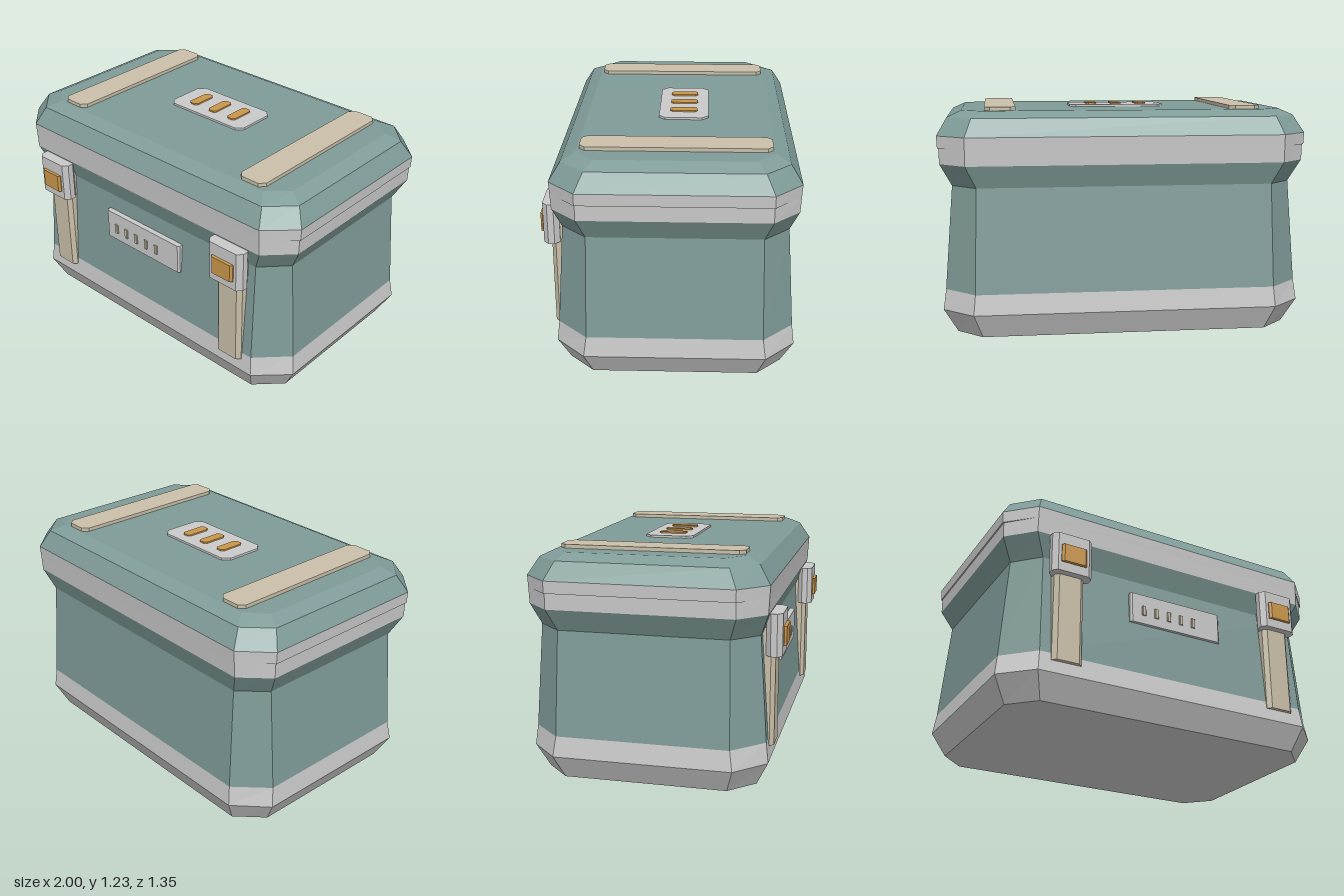
import * as THREE from 'three';

const mat = (name, color) => {
  const m = new THREE.MeshStandardMaterial({ color, flatShading: true });
  m.name = name;
  return m;
};

// Eight-sided ring: hx, hz are half sizes, ix, iz where the corner cuts begin
const ring = (y, hx, hz, ix, iz) => [
  [hx, iz], [hx, -iz], [ix, -hz], [-ix, -hz],
  [-hx, -iz], [-hx, iz], [-ix, hz], [ix, hz],
].map(([x, z]) => [x, y, z]);

// Skin a stack of rings, bottom to top, with optional end caps
function loft(rings, capBottom = false, capTop = false) {
  const pos = [];
  const tri = (a, b, c) => pos.push(...a, ...b, ...c);
  for (let r = 0; r < rings.length - 1; r++) {
    const lo = rings[r], hi = rings[r + 1];
    for (let i = 0; i < 8; i++) {
      const j = (i + 1) % 8;
      tri(lo[i], lo[j], hi[j]);
      tri(lo[i], hi[j], hi[i]);
    }
  }
  const bottom = rings[0], top = rings[rings.length - 1];
  for (let i = 1; i < 7; i++) {
    if (capBottom) tri(bottom[0], bottom[i + 1], bottom[i]);
    if (capTop) tri(top[0], top[i], top[i + 1]);
  }
  const g = new THREE.BufferGeometry();
  g.setAttribute('position', new THREE.Float32BufferAttribute(pos, 3));
  g.computeVertexNormals();
  return g;
}

// Upright block with its vertical edges cut by c
function block(x0, x1, y0, y1, z0, z1, c) {
  const hx = (x1 - x0) / 2, hz = (z1 - z0) / 2;
  const g = loft([y0, y1].map((y) => ring(y, hx, hz, hx - c, hz - c)), true, true);
  return g.translate((x0 + x1) / 2, 0, (z0 + z1) / 2);
}

export function createModel() {
  const teal = mat('teal', 0x7f9b98);
  const grey = mat('light grey', 0xc9c9c9);
  const tan = mat('tan', 0xc9bfa8);
  const gold = mat('gold', 0xca964a);

  const group = new THREE.Group();
  group.name = 'chest';
  const add = (name, geometry, material) => {
    const mesh = new THREE.Mesh(geometry, material);
    mesh.name = name;
    group.add(mesh);
    return mesh;
  };

  // Shell, from the floor to the lid
  const baseTop = ring(0.245, 0.97, 0.627, 0.81, 0.465);
  const rimBottom = ring(0.93, 0.988, 0.632, 0.85, 0.493);
  const rimTop = ring(1.08, 1.0, 0.64, 0.85, 0.495);
  const shell = [
    ['baseTrim', grey, loft([
      ring(0, 0.91, 0.575, 0.775, 0.44),
      ring(0.135, 0.985, 0.64, 0.82, 0.48),
      baseTop], true)],
    ['body', teal, loft([
      baseTop, ring(0.81, 0.925, 0.588, 0.795, 0.453), rimBottom])],
    // The rim has a small step along both ends
    ['lidRim', grey, loft([
      rimBottom,
      ring(1.015, 0.99, 0.636, 0.85, 0.493),
      ring(1.015, 0.997, 0.636, 0.85, 0.495),
      rimTop])],
    ['lid', teal, loft([
      rimTop,
      ring(1.175, 0.945, 0.58, 0.815, 0.45),
      ring(1.21, 0.87, 0.507, 0.76, 0.41)], false, true)],
  ];
  for (const [name, material, geometry] of shell) {
    add(name, geometry.translate(0, 0, -0.035), material);
  }

  // Straps and latches, mirrored left and right
  for (const [side, s] of [['left', 1], ['right', -1]]) {
    const x = 0.664 * s;
    add(side + 'LidStrap', block(x - 0.083, x + 0.083, 1.2, 1.23, -0.53, 0.458, 0.03), tan);
    add(side + 'FrontStrap', block(x - 0.084, x + 0.084, 0.205, 0.84, 0.5, 0.62, 0.022), tan);
    add(side + 'Latch', block(x - 0.115, x + 0.115, 0.695, 0.92, 0.573, 0.658, 0.026), grey);
    add(side + 'LatchButton', block(x - 0.072, x + 0.072, 0.747, 0.848, 0.63, 0.675, 0.012), gold);
  }

  // Front panel with a row of small slots
  add('frontPanel', block(-0.285, 0.285, 0.545, 0.718, 0.54, 0.59, 0.01), grey);
  for (let i = 0; i < 5; i++) {
    const x = -0.205 + i * 0.0785;
    add('frontSlot', block(x - 0.012, x + 0.012, 0.594, 0.649, 0.58, 0.598, 0.004), tan);
  }

  // Lid plate with three bars
  add('lidPlate', block(-0.269, 0.266, 1.2, 1.222, -0.2, 0.073, 0.035), grey);
  for (let i = -1; i <= 1; i++) {
    const x = -0.003 + i * 0.142;
    add('lidBar', block(x - 0.029, x + 0.029, 1.21, 1.23, -0.14, 0.012, 0.014), gold);
  }
  return group;
}
